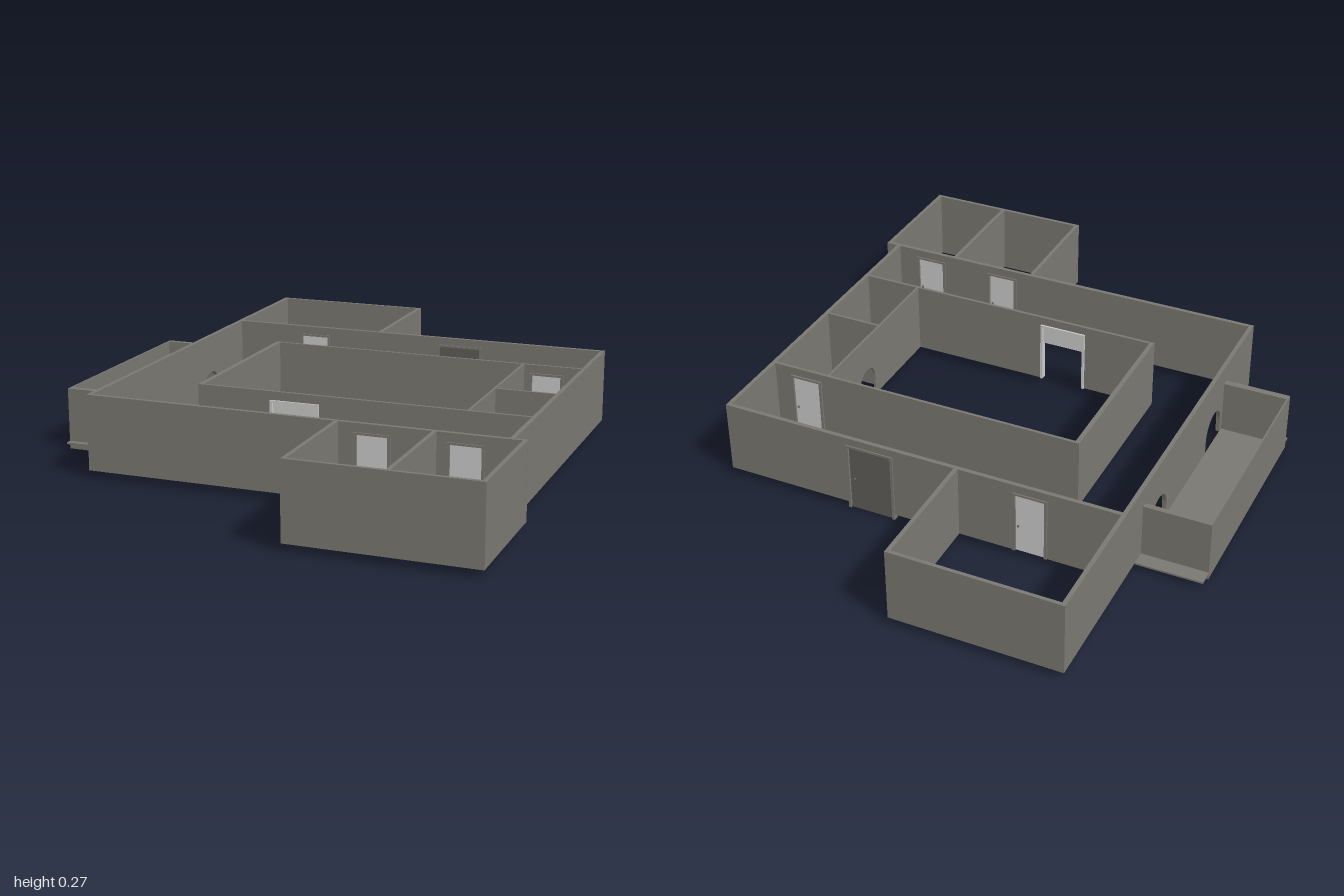
import * as THREE from 'three';

const BASE = 0.025, TOP = 0.27;

export function createModel() {
  const mat = (name, color) => new THREE.MeshStandardMaterial({ name, color });
  const wallMat = mat('wall grey', 0x7a7871);
  const doorMat = mat('pale door', 0xcccccc);
  const darkMat = mat('dark door', 0x5f5d58);
  const model = new THREE.Group();
  model.name = 'floorPlan';

  const box = (parent, name, m, x0, x1, y0, y1, z0, z1) => {
    const b = new THREE.Mesh(new THREE.BoxGeometry(x1 - x0, y1 - y0, z1 - z0), m);
    b.position.set((x0 + x1) / 2, (y0 + y1) / 2, (z0 + z1) / 2);
    b.name = name;
    parent.add(b);
    return b;
  };

  // Group whose local x runs along the wall: world x, or world z when alongZ
  const wallGroup = (name, alongZ, at) => {
    const g = new THREE.Group();
    g.name = name;
    if (alongZ) { g.rotation.y = -Math.PI / 2; g.position.x = at; } else g.position.z = at;
    model.add(g);
    return g;
  };

  // Wall from a to b with openings { c, w, h, arch } cut up from its base
  const wall = (name, alongZ, at, a, b, t = 0.014, openings = []) => {
    const g = wallGroup(name, alongZ, at);
    const s = new THREE.Shape();
    s.moveTo(a, BASE);
    for (const { c, w, h, arch } of openings) {
      const r = w / 2;
      s.lineTo(c - r, BASE);
      if (arch) {
        s.lineTo(c - r, h - r);
        s.absarc(c, h - r, r, Math.PI, 0, true);
      } else {
        s.lineTo(c - r, h);
        s.lineTo(c + r, h);
      }
      s.lineTo(c + r, BASE);
    }
    s.lineTo(b, BASE);
    s.lineTo(b, TOP);
    s.lineTo(a, TOP);
    const geo = new THREE.ExtrudeGeometry(s, { depth: t, bevelEnabled: false, curveSegments: 16 });
    geo.translate(0, 0, -t / 2);
    const m = new THREE.Mesh(geo, wallMat);
    m.name = name + 'Panel';
    g.add(m);
    return g;
  };

  // Frame around an opening
  const frame = (g, c, w, y0, h, m, d = 0.011) => {
    const r = w / 2, f = 0.007;
    box(g, 'frameJamb', m, c - r - f, c - r + 0.002, y0, h + f, -d, d);
    box(g, 'frameJamb', m, c + r - 0.002, c + r + f, y0, h + f, -d, d);
    box(g, 'frameHead', m, c - r, c + r, h, h + f, -d, d);
  };

  // Door leaf with frame and a knob on each side
  const door = (g, c, w, h, leaf, y0 = BASE) => {
    frame(g, c, w, y0, h, wallMat);
    box(g, 'doorLeaf', leaf, c - w / 2, c + w / 2, y0, h, -0.004, 0.004);
    for (const s of [-1, 1]) {
      const k = new THREE.Mesh(new THREE.SphereGeometry(0.004, 10, 8), darkMat);
      k.position.set(c + w * 0.38, 0.12, s * 0.007);
      k.name = 'doorKnob';
      g.add(k);
    }
  };

  // Outer ring
  const small = { w: 0.1, h: 0.235 };
  const back = wall('backWall', false, -0.557, -0.595, 0.77, 0.014,
    [{ c: -0.29, ...small }, { c: 0.255, w: 0.15, h: 0.238 }]);
  door(back, -0.29, 0.1, 0.235, doorMat);
  door(back, 0.255, 0.15, 0.238, darkMat, 0.006);
  const front = wall('frontWall', false, 0.587, -0.595, 0.81, 0.014,
    [{ c: 0.345, ...small }, { c: 0.63, ...small }]);
  for (const c of [0.345, 0.63]) door(front, c, 0.1, 0.235, doorMat);
  wall('rightWall', true, 0.763, -0.56, 0.59);
  wall('leftWall', true, -0.588, -1, 0.594, 0.014,
    [{ c: -0.28, w: 0.14, h: 0.14, arch: true }, { c: 0.22, w: 0.14, h: 0.14, arch: true }]);

  // Back room
  wall('backRoomEnd', false, -0.994, -0.595, -0.037, 0.012);
  wall('backRoomSide', true, -0.044, -1, -0.557);

  // Two front rooms
  wall('frontRoomEnd', false, 0.994, 0.226, 0.81, 0.012);
  for (const x of [0.233, 0.535, 0.803]) wall('frontRoomSide', true, x, 0.587, 1, 0.013);

  // Inner court and the two small rooms beside it
  const innerBack = wall('innerBackWall', false, -0.284, -0.33, 0.765, 0.01, [{ c: 0.64, ...small }]);
  door(innerBack, 0.64, 0.1, 0.235, doorMat);
  const innerFront = wall('innerFrontWall', false, 0.344, -0.33, 0.765, 0.01, [{ c: 0, w: 0.15, h: 0.235 }]);
  frame(innerFront, 0, 0.15, BASE, 0.235, doorMat);
  box(innerFront, 'transom', doorMat, -0.075, 0.075, 0.17, 0.235, -0.003, 0.003);
  wall('innerLeftWall', true, -0.322, -0.288, 0.348, 0.016);
  wall('innerRightWall', true, 0.56, -0.284, 0.344, 0.008, [{ c: -0.04, w: 0.1, h: 0.15, arch: true }]);
  wall('smallRoomDivider', false, 0.06, 0.56, 0.765, 0.009);

  // Open balcony on the left side
  const balcony = new THREE.Group();
  balcony.name = 'balcony';
  model.add(balcony);
  box(balcony, 'balconyFloor', wallMat, -0.813, -0.594, 0.004, 0.02, -0.415, 0.33);
  box(balcony, 'balconyLedge', wallMat, -0.813, -0.594, 0.02, 0.026, -0.47, 0.35);
  box(balcony, 'balconyOuterWall', wallMat, -0.813, -0.807, 0, 0.205, -0.42, 0.33);
  box(balcony, 'balconyBackWall', wallMat, -0.812, -0.594, 0, 0.205, -0.42, -0.402);
  box(balcony, 'balconyFrontWall', wallMat, -0.812, -0.594, 0, 0.205, 0.307, 0.33);

  return model;
}
